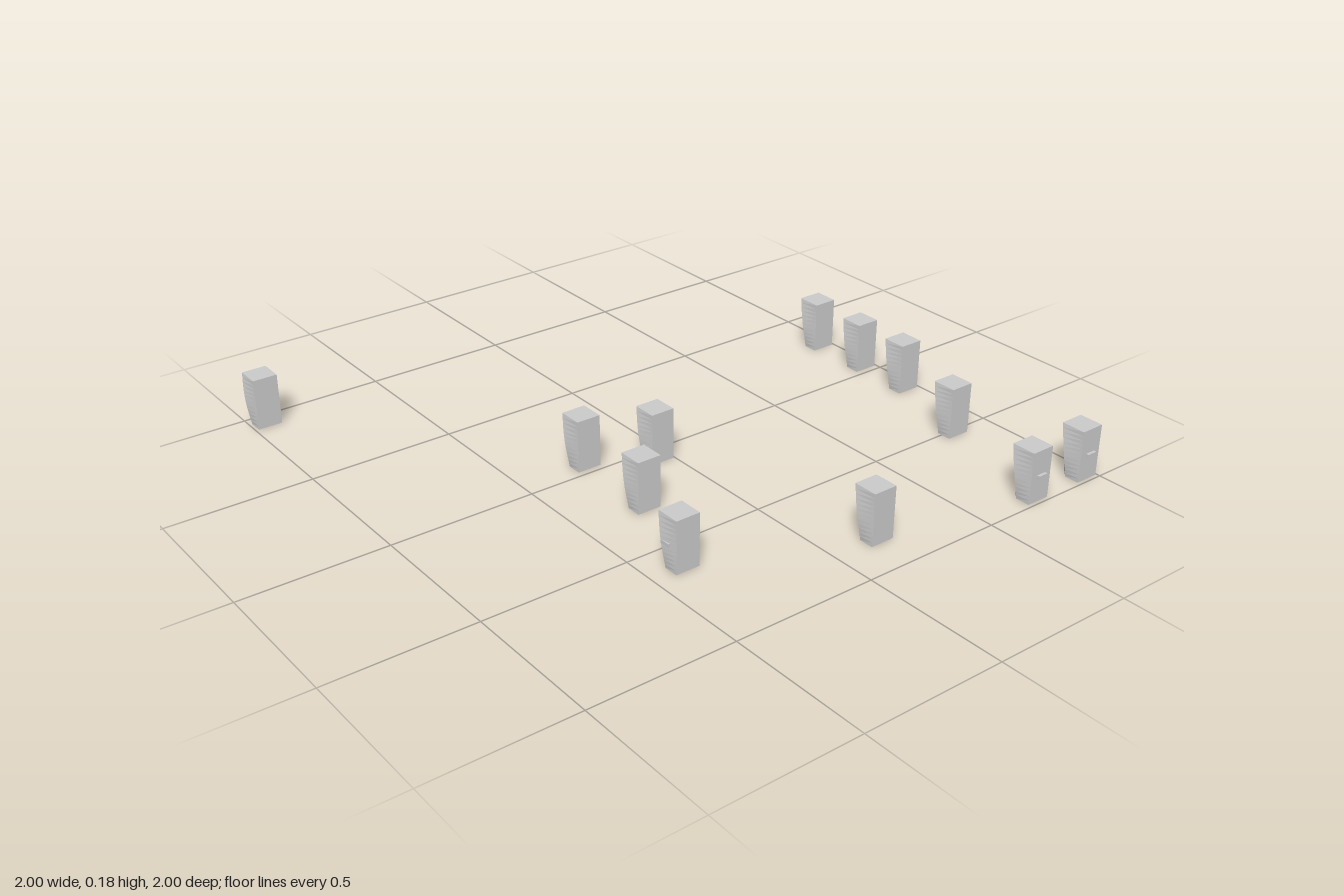
import * as THREE from 'three';

const H = 0.0425, TALL = 0.18, LEVELS = 12;

// Square post whose -x/+z corner is cut by a curved bevel that widens toward the floor
function postGeometry() {
  const ring = (k) => {
    const t = k / LEVELS, y = TALL * (1 - t);
    const cut = 0.0005 + 0.034 * Math.sin(t * Math.PI / 2);
    const bow = Math.sin(t * Math.PI);
    return [
      [-H, y, -H], [-H - 0.003 * bow, y, H - cut],
      [-H + cut, y, H + 0.01 * bow], [H, y, H], [H, y, -H],
    ];
  };
  const pos = [];
  const tri = (a, b, c) => pos.push(...a, ...b, ...c);
  for (let k = 0; k < LEVELS; k++) {
    const up = ring(k), low = ring(k + 1);
    for (let i = 0; i < 5; i++) {
      const j = (i + 1) % 5;
      tri(low[i], low[j], up[j]);
      tri(low[i], up[j], up[i]);
    }
  }
  // Top and bottom caps
  const top = ring(0), base = ring(LEVELS);
  for (let i = 1; i < 4; i++) {
    tri(top[0], top[i], top[i + 1]);
    tri(base[0], base[i + 1], base[i]);
  }
  const g = new THREE.BufferGeometry();
  g.setAttribute('position', new THREE.Float32BufferAttribute(pos, 3));
  g.computeVertexNormals();
  return g;
}

export function createModel() {
  const model = new THREE.Group();
  model.name = 'posts';
  const mat = new THREE.MeshStandardMaterial({ color: 0xcccccc, flatShading: true });
  const postGeo = postGeometry();
  const tabGeo = new THREE.BoxGeometry(0.036, 0.012, 0.014);

  // x, z and the direction the small tab points (x, z)
  const layout = [
    [-0.29, -0.95, 0, -1], [-0.065, -0.95, 0, -1], [0.152, -0.948, -1, 0],
    [0.492, -0.843, 0, -1], [0.944, -0.952, 1, 0], [0.944, -0.723, 1, 0],
    [0.83, -0.168, -1, 0], [0.04, 0.048, -1, 0], [-0.065, 0.263, 0, -1],
    [0.262, 0.269, -1, 0], [0.6, 0.386, 0, 1], [-0.955, 0.946, 0, 0],
  ];
  layout.forEach(([x, z, dx, dz], i) => {
    const unit = new THREE.Group();
    unit.name = `post${i + 1}`;
    unit.position.set(x, 0, z);
    const body = new THREE.Mesh(postGeo, mat);
    body.name = 'postBody';
    unit.add(body);
    if (dx || dz) {
      const tab = new THREE.Mesh(tabGeo, mat);
      tab.name = 'tab';
      const reach = H + 0.003;
      tab.position.set(dx * reach, TALL * 0.5, dz * reach);
      tab.rotation.y = Math.atan2(dx, dz);
      unit.add(tab);
    }
    model.add(unit);
  });
  return model;
}
